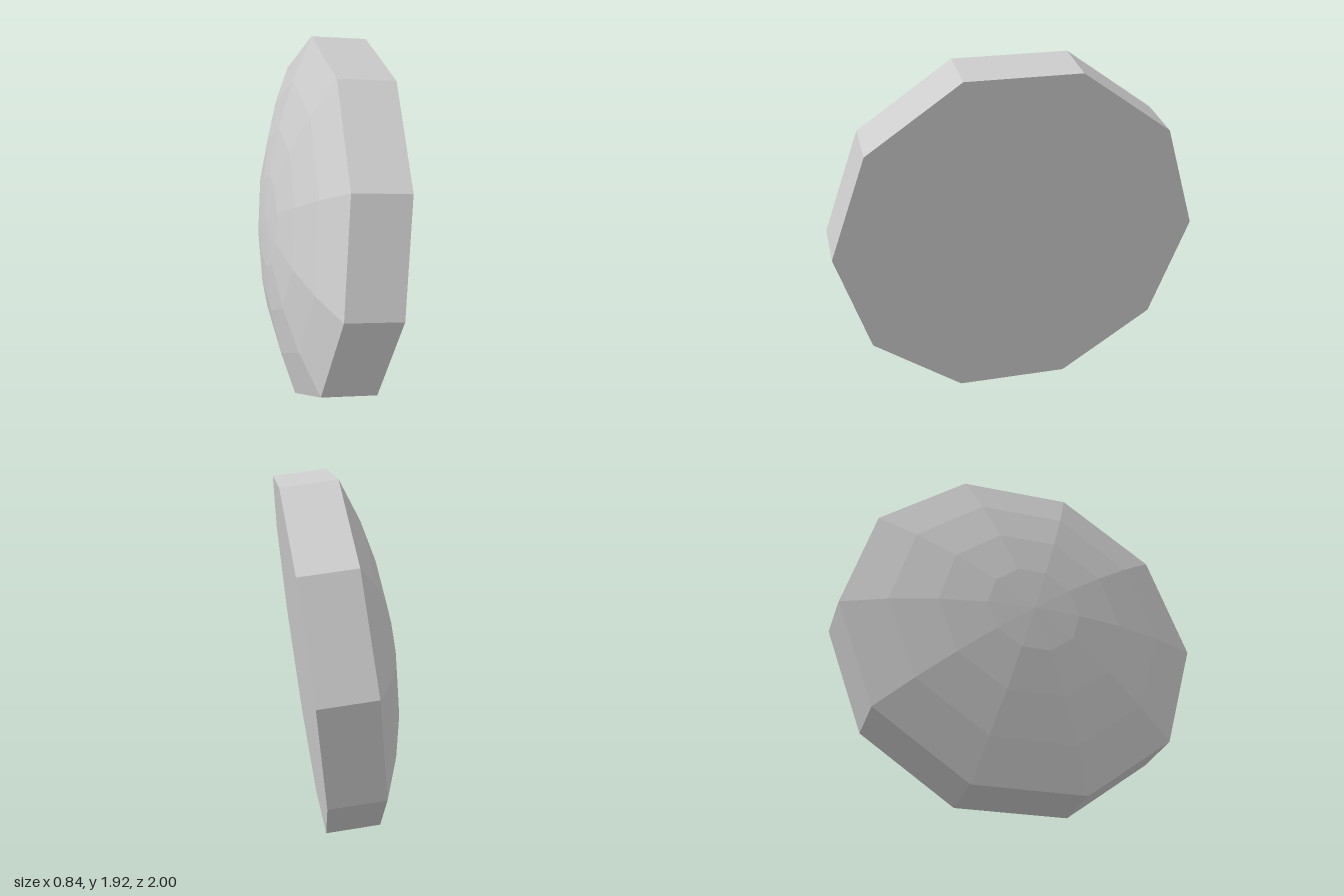
import * as THREE from 'three';

const SIDES = 10, RADIUS = 0.995, THICKNESS = 0.3, DOME_HEIGHT = 0.21, DOME_RINGS = 4;

// Faceted ten-sided surface of revolution; profile runs from low to high along the axis
function faceted(name, profile, material) {
  const points = profile.map(([r, y]) => new THREE.Vector2(r, y));
  const geometry = new THREE.LatheGeometry(points, SIDES).toNonIndexed();
  geometry.computeVertexNormals();
  const mesh = new THREE.Mesh(geometry, material);
  mesh.name = name;
  return mesh;
}

export function createModel() {
  const model = new THREE.Group();
  model.name = 'domedDisc';
  const grey = new THREE.MeshStandardMaterial({ color: 0xcccccc });
  grey.name = 'light grey';

  // Shallow spherical cap on the back
  const sphere = (RADIUS ** 2 + DOME_HEIGHT ** 2) / (2 * DOME_HEIGHT);
  const spread = Math.asin(RADIUS / sphere);
  const cap = [];
  for (let i = 0; i <= DOME_RINGS; i++) {
    const a = (spread * i) / DOME_RINGS;
    cap.push([sphere * Math.sin(a), -THICKNESS - DOME_HEIGHT + sphere * (1 - Math.cos(a))]);
  }

  const disc = new THREE.Group();
  disc.name = 'tiltedDisc';
  disc.add(
    faceted('dome', cap, grey),
    faceted('rim', [[RADIUS, -THICKNESS], [RADIUS, 0]], grey),
    faceted('flatFace', [[RADIUS, 0], [0, 0]], grey),
  );

  // Tilt: the axis points to the side, slightly forward and down
  const across = new THREE.Vector3(0.2425, 0, -0.97).normalize();
  const axis = new THREE.Vector3(0.962, -0.1237, 0.2406).normalize();
  const up = new THREE.Vector3().crossVectors(axis, across).normalize();
  axis.crossVectors(across, up);
  disc.quaternion.setFromRotationMatrix(new THREE.Matrix4().makeBasis(up, axis, across));
  disc.position.set(0.15, 0.939, 0.036);
  model.add(disc);
  return model;
}
